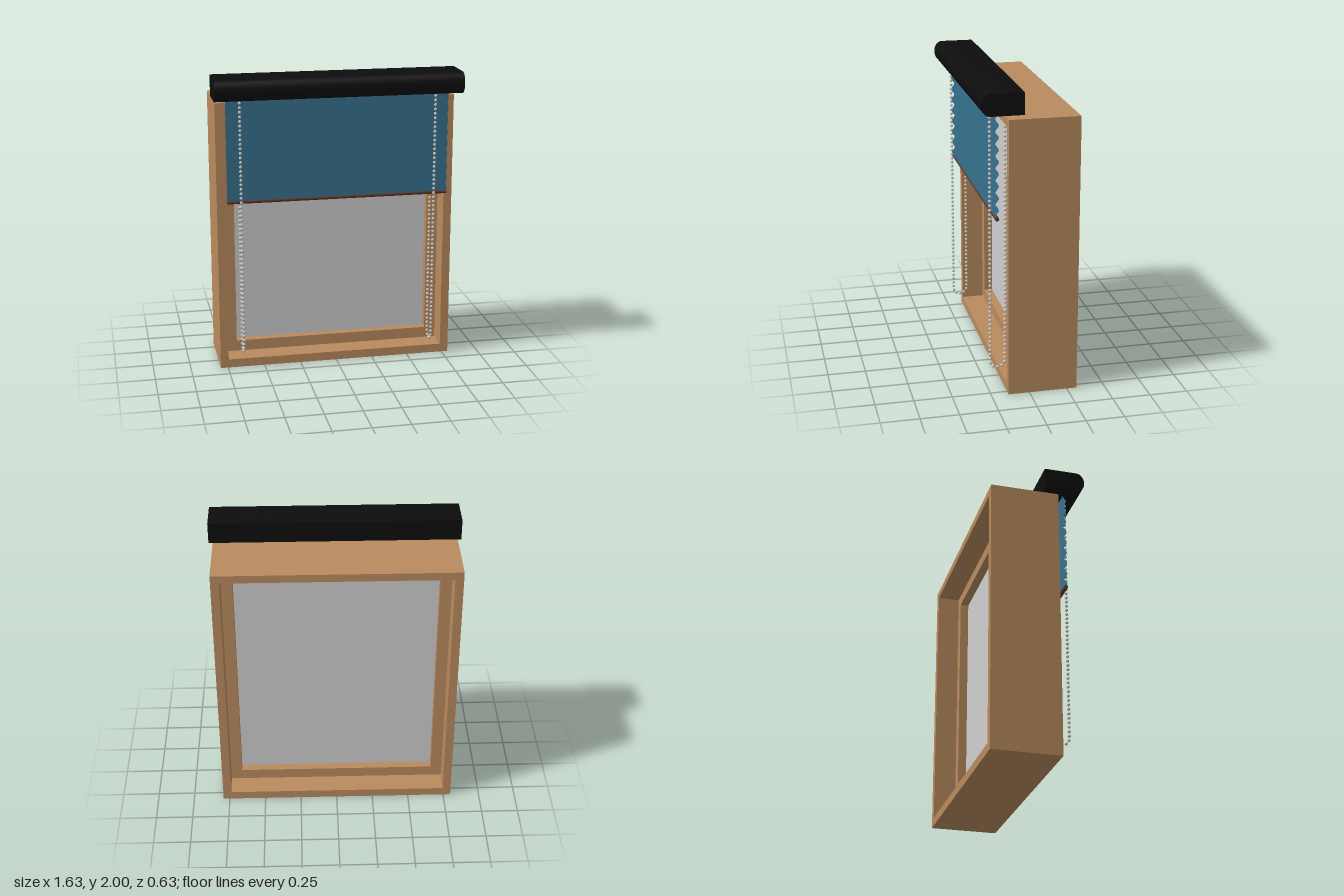
import * as THREE from 'three';
import { mergeGeometries, toCreasedNormals } from 'three/addons/utils/BufferGeometryUtils.js';

const mat = (name, color, side = THREE.FrontSide) => {
  const m = new THREE.MeshStandardMaterial({ color, side });
  m.name = name;
  return m;
};

// Rectangular ring with a rectangular opening, extruded from z0 to z1
function ring(halfW, y0, y1, holeHalfW, holeY0, holeY1, z0, z1) {
  const rect = (C, w, a, b) => {
    const p = new C();
    p.moveTo(-w, a);
    p.lineTo(w, a);
    p.lineTo(w, b);
    p.lineTo(-w, b);
    p.closePath();
    return p;
  };
  const s = rect(THREE.Shape, halfW, y0, y1);
  s.holes.push(rect(THREE.Path, holeHalfW, holeY0, holeY1));
  const g = new THREE.ExtrudeGeometry(s, { depth: z1 - z0, bevelEnabled: false });
  return g.translate(0, 0, z0);
}

export function createModel() {
  const model = new THREE.Group();
  model.name = 'windowWithRollerBlind';

  const wood = mat('wood', 0xb98b5e);
  const glass = mat('paleGlass', 0xcfcfcf);
  const black = mat('blackPlastic', 0x0d0d0d);
  const blue = mat('blueFabric', 0x38718f, THREE.DoubleSide);
  const brown = mat('darkBrown', 0x5a3a2c);
  const metal = mat('beadMetal', 0xc4c0bc);

  const add = (name, geometry, material, parent = model) => {
    const m = new THREE.Mesh(geometry, material);
    m.name = name;
    parent.add(m);
    return m;
  };

  // Window: deep outer box, narrower sash in the middle, pane
  const win = new THREE.Group();
  win.name = 'window';
  win.position.x = -0.003;
  model.add(win);
  add('outerFrame', ring(0.797, 0, 1.828, 0.742, 0.058, 1.775, -0.315, 0.14), wood, win);
  add('sash', ring(0.742, 0.058, 1.775, 0.667, 0.132, 1.7, -0.165, -0.01), wood, win);
  add('pane', new THREE.BoxGeometry(1.334, 1.568, 0.04).translate(0, 0.916, -0.0875), glass, win);

  // Cassette: flat back, rounded nose
  const profile = new THREE.Shape();
  profile.moveTo(0.045, 1.86);
  profile.lineTo(0.26, 1.86);
  profile.absellipse(0.26, 1.93, 0.055, 0.07, -Math.PI / 2, Math.PI / 2, false);
  profile.lineTo(0.045, 2);
  profile.closePath();
  const cassette = new THREE.ExtrudeGeometry(profile, { depth: 1.632, bevelEnabled: false, curveSegments: 16 });
  cassette.rotateY(-Math.PI / 2).translate(0.816, 0, 0);
  add('cassette', toCreasedNormals(cassette, 0.6), black);

  // Fabric: gently rippled sheet that keeps its flat shading normals
  const top = 1.88, bottom = 1.18;
  const fabric = new THREE.PlaneGeometry(1.476, top - bottom, 1, 72);
  const p = fabric.attributes.position;
  for (let i = 0; i < p.count; i++) {
    p.setZ(i, 0.011 * Math.sin((p.getY(i) + 0.35) * Math.PI * 2 / 0.0778));
  }
  fabric.translate(0, (top + bottom) / 2, 0.2);
  add('fabric', fabric, blue);

  // Weighted bottom bar
  const bar = new THREE.CylinderGeometry(0.013, 0.013, 1.478, 16).rotateZ(Math.PI / 2);
  add('bottomBar', bar.translate(0, 1.181, 0.2), brown);

  // Bead chains: two strands joined by a half-circle at the bottom
  const zc = 0.179, r = 0.049, yc = 0.181, yTop = 1.9;
  const strand = yTop - yc, arc = Math.PI * r, total = 2 * strand + arc;
  const count = Math.round(total / 0.03);
  const beads = [];
  for (let i = 0; i <= count; i++) {
    const d = (i / count) * total;
    let y, z;
    if (d < strand) {
      y = yTop - d;
      z = zc + r;
    } else if (d < strand + arc) {
      const a = (d - strand) / r;
      y = yc - r * Math.sin(a);
      z = zc + r * Math.cos(a);
    } else {
      y = yc + d - strand - arc;
      z = zc - r;
    }
    beads.push(new THREE.SphereGeometry(0.0105, 10, 8).translate(0, y, z));
  }
  const chain = mergeGeometries(beads);
  add('leftChain', chain, metal).position.x = 0.645;
  add('rightChain', chain, metal).position.x = -0.649;

  return model;
}
